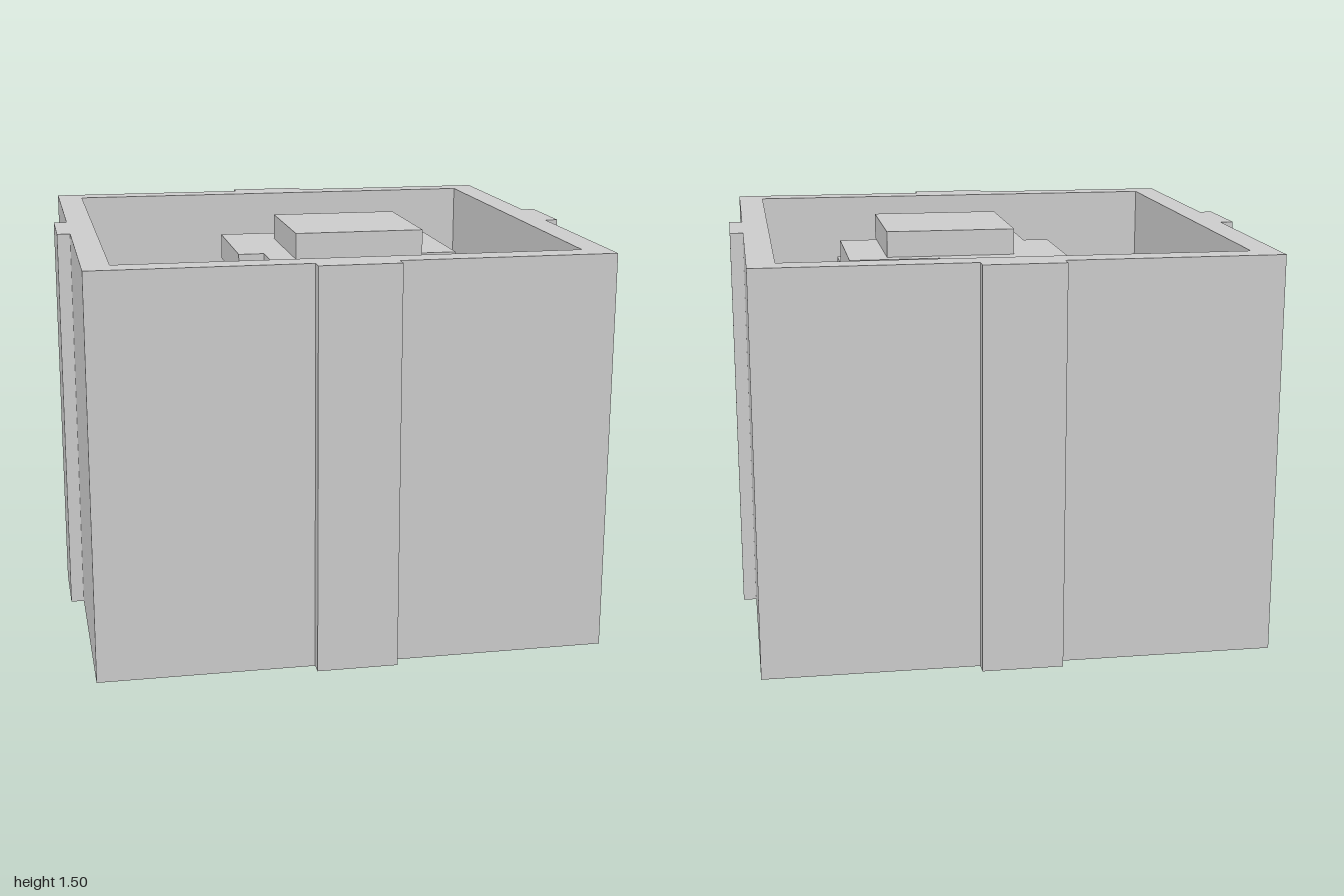
import * as THREE from 'three';

const HEIGHT = 1.5, OUTER = 0.95, INNER = 0.85, RIB = 0.15, FILL = 0.8, SLAB = 0.1, SIZE = 0.5;

// Square slabs of the heap: top height, then the [min x, min z] corner of each slab
const LAYERS = [
  [1.5, [[-0.1, -0.2]]],
  [1.4, [[-0.3, -0.35], [-0.2, 0], [0.05, -0.25]]],
  [1.3, [[-0.15, -0.6], [0.15, -0.4], [-0.4, -0.15], [0.05, -0.05]]],
  [1.2, [[-0.6, -0.65], [-0.5, -0.3], [-0.3, 0.15], [0.2, -0.4], [-0.05, 0]]],
  [1.1, [[-0.65, -0.65], [-0.2, -0.65], [0.3, -0.5], [-0.55, -0.35], [-0.6, 0.15]]],
  [1.0, [[-0.8, -0.15], [-0.7, -0.55], [-0.35, 0.35], [-0.35, -0.8],
    [0.35, -0.8], [0.35, -0.05], [0.3, 0.35]]],
  [0.9, [[0.3, -0.85]]],
];

export function createModel() {
  const model = new THREE.Group();
  const material = new THREE.MeshStandardMaterial({ color: 0xcccccc, flatShading: true });

  const add = (name, geometry, parent = model) => {
    const mesh = new THREE.Mesh(geometry, material);
    mesh.name = name;
    parent.add(mesh);
    return mesh;
  };

  // Walls: square ring with a flat rib in the middle of each side
  const points = [];
  for (let i = 0; i < 4; i++) {
    const side = [[OUTER, -OUTER], [OUTER, -RIB], [1, -RIB], [1, RIB], [OUTER, RIB]];
    for (const [x, y] of side) {
      points.push(new THREE.Vector2(x, y).rotateAround(new THREE.Vector2(), i * Math.PI / 2));
    }
  }
  const outline = new THREE.Shape(points);
  const opening = new THREE.Path();
  opening.moveTo(-INNER, -INNER).lineTo(-INNER, INNER).lineTo(INNER, INNER).lineTo(INNER, -INNER).closePath();
  outline.holes.push(opening);
  const walls = new THREE.ExtrudeGeometry(outline, { depth: HEIGHT, bevelEnabled: false });
  add('walls', walls.rotateX(-Math.PI / 2));

  // Solid bed inside the walls
  add('bed', new THREE.BoxGeometry(2 * INNER, FILL, 2 * INNER)).position.y = FILL / 2;

  // Heap of overlapping slabs; the lowest ones rest on the bed
  const heap = new THREE.Group();
  heap.name = 'heap';
  model.add(heap);
  for (const [top, corners] of LAYERS) {
    const thickness = top > 1.05 ? SLAB : top - FILL;
    for (const [x, z] of corners) {
      const slab = add('heapSlab', new THREE.BoxGeometry(SIZE, thickness, SIZE), heap);
      slab.position.set(x + SIZE / 2, top - thickness / 2, z + SIZE / 2);
    }
  }
  return model;
}
